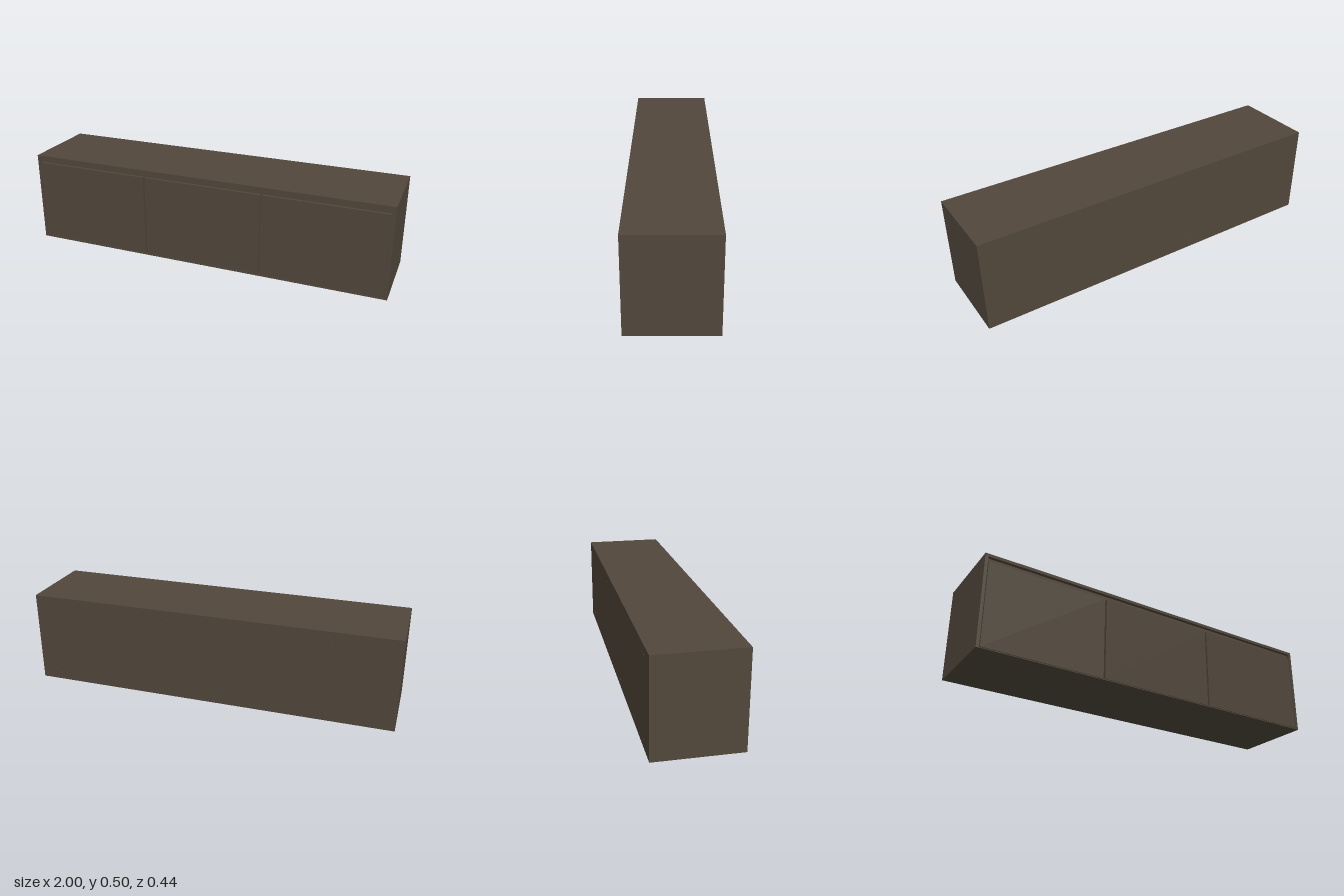
import * as THREE from 'three';

export function createModel() {
  const cabinet = new THREE.Group();
  cabinet.name = 'cabinet';
  const wood = new THREE.MeshStandardMaterial({ color: 0x51473b });
  wood.name = 'dark brown wood';

  const W = 2, H = 0.502, D = 0.444, T = 0.016;
  const backT = 0.012, doorT = 0.016;
  const front = D / 2, back = -D / 2;

  // Box given by its minimum and maximum corners
  function panel(name, x0, x1, y0, y1, z0, z1) {
    const mesh = new THREE.Mesh(new THREE.BoxGeometry(x1 - x0, y1 - y0, z1 - z0), wood);
    mesh.position.set((x0 + x1) / 2, (y0 + y1) / 2, (z0 + z1) / 2);
    mesh.name = name;
    cabinet.add(mesh);
  }

  // Carcass
  const inner = W / 2 - T, carcassBack = back + backT;
  panel('topPanel', -W / 2, W / 2, H - T, H, carcassBack, front);
  panel('bottomPanel', -inner, inner, 0, 0.005, carcassBack, front);
  panel('rightSide', -W / 2, -inner, 0, H - T, carcassBack, front);
  panel('leftSide', inner, W / 2, 0, H - T, carcassBack, front);

  // Back panel with two rows of screw holes
  const shape = new THREE.Shape();
  shape.moveTo(-W / 2, 0).lineTo(W / 2, 0).lineTo(W / 2, H).lineTo(-W / 2, H).closePath();
  for (const x of [-0.876, -0.648, -0.222, 0.222, 0.648, 0.876]) {
    for (const y of [0.045, H - 0.045]) {
      shape.holes.push(new THREE.Path().absarc(x, y, 0.004, 0, Math.PI * 2, true));
    }
  }
  const backPanel = new THREE.Mesh(
    new THREE.ExtrudeGeometry(shape, { depth: backT, bevelEnabled: false, curveSegments: 8 }), wood);
  backPanel.position.z = back;
  backPanel.name = 'backPanel';
  cabinet.add(backPanel);

  // Recessed rail above the doors, forming the finger groove
  const doorBack = front - doorT - 0.002;
  panel('topRail', -inner, inner, 0.44, H - T, doorBack - T, doorBack);

  // Dividers and end stiles behind the door gaps
  for (const x of [-0.33, 0.33]) {
    panel('divider', x - T / 2, x + T / 2, 0.005, 0.44, carcassBack, doorBack);
  }
  for (const s of [-1, 1]) {
    const x = s * (inner - 0.01);
    panel('endStile', x - 0.01, x + 0.01, 0.005, 0.44, doorBack - T, doorBack);
  }

  // Three flat doors
  for (const [x0, x1] of [[-0.98, -0.335], [-0.325, 0.325], [0.335, 0.98]]) {
    panel('door', x0, x1, 0.007, 0.46, front - doorT, front);
  }
  return cabinet;
}
